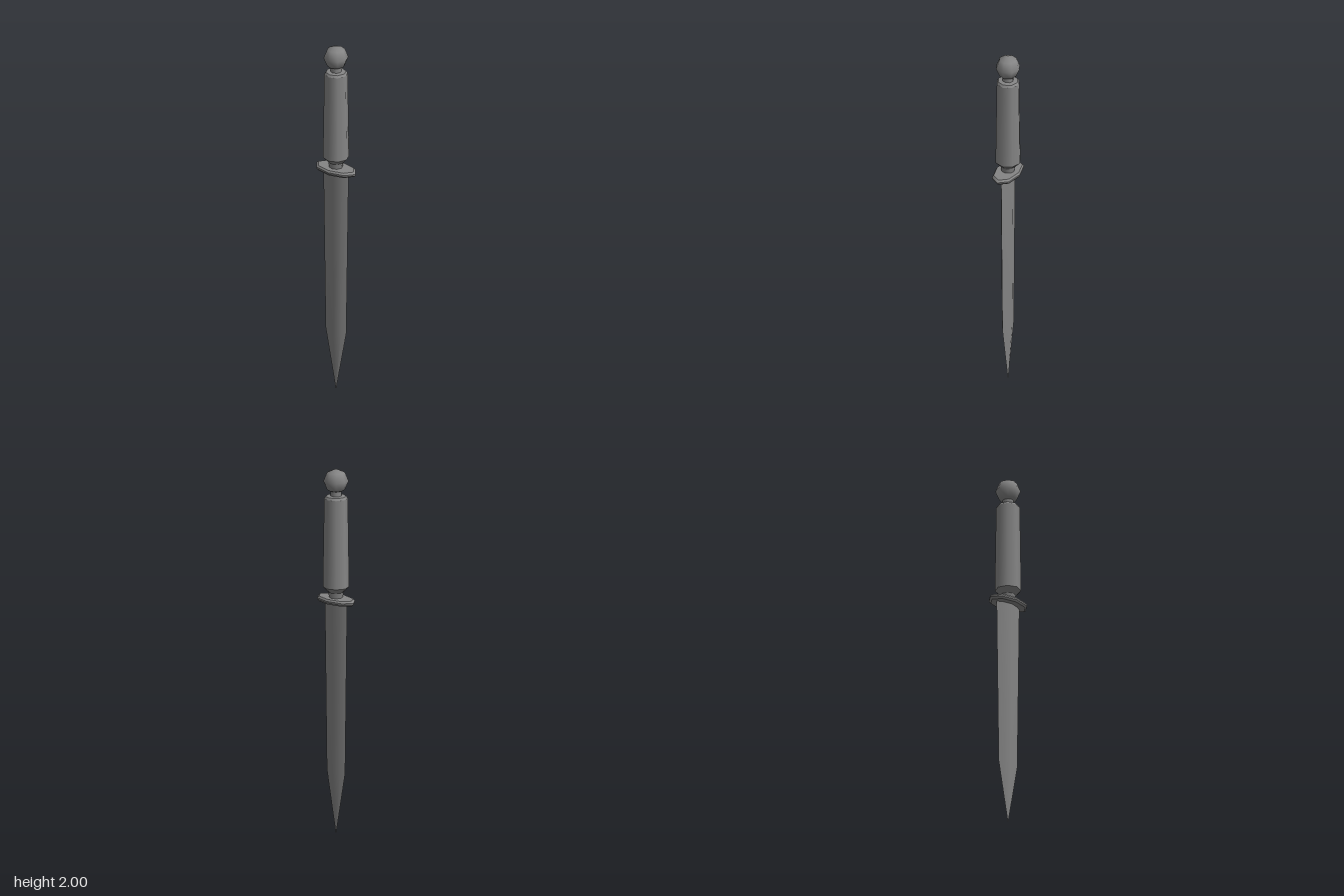
import * as THREE from 'three';
import { mergeGeometries, toCreasedNormals } from 'three/addons/utils/BufferGeometryUtils.js';

const SIDES = 8;
const material = new THREE.MeshStandardMaterial({ color: 0x858585 });

function addMesh(group, name, geometry) {
  const mesh = new THREE.Mesh(geometry, material);
  mesh.name = name;
  group.add(mesh);
  return mesh;
}

// Eight-sided turned part from [radius, y] points, listed bottom to top:
// smooth around the axis, sharp at every ring
function turned(points, sx = 1, sz = 1) {
  const bands = points.slice(1).map((p, i) =>
    new THREE.LatheGeometry([new THREE.Vector2(...points[i]), new THREE.Vector2(...p)], SIDES));
  return mergeGeometries(bands).scale(sx, 1, sz);
}

// Loft a lens-shaped section through [y, halfWidth, halfThickness] stations
function bladeGeometry(stations) {
  const section = [[1, 0], [0.62, 0.6], [0, 1], [-0.62, 0.6], [-1, 0], [-0.62, -0.6], [0, -1], [0.62, -0.6]];
  const n = section.length;
  const positions = [], index = [];
  for (const [y, w, t] of stations) {
    for (const [x, z] of section) positions.push(x * w, y, z * t);
  }
  for (let s = 0; s < stations.length - 1; s++) {
    for (let i = 0; i < n; i++) {
      const a = s * n + i, b = s * n + (i + 1) % n;
      index.push(a, a + n, b, b, a + n, b + n);
    }
  }
  // Close the top end
  const top = (stations.length - 1) * n;
  for (let i = 1; i < n - 1; i++) index.push(top, top + i + 1, top + i);
  const g = new THREE.BufferGeometry();
  g.setAttribute('position', new THREE.Float32BufferAttribute(positions, 3));
  g.setIndex(index);
  return toCreasedNormals(g, 0.8);
}

export function createModel() {
  const group = new THREE.Group();
  group.name = 'dagger';

  // Blade: long taper, then a straight point
  addMesh(group, 'blade', bladeGeometry([
    [0, 0.001, 0.0005], [0.34, 0.068, 0.024], [1.28, 0.083, 0.03],
  ]));

  // Guard: flattened oval plate with a bevelled rim
  addMesh(group, 'guard', turned([
    [0, 1.267], [0.9, 1.267], [1, 1.277], [1, 1.285], [0.9, 1.295], [0, 1.295],
  ], 0.13, 0.07));

  // Collar between guard and grip
  addMesh(group, 'collar', turned([[0.034, 1.285], [0.042, 1.327]]));

  // Grip with a chamfered foot and shoulder
  addMesh(group, 'grip', turned([
    [0, 1.325], [0.042, 1.325], [0.07, 1.353], [0.063, 1.838], [0.055, 1.85], [0, 1.855],
  ]));

  // Neck and faceted ball pommel
  addMesh(group, 'pommelNeck', turned([[0.03, 1.845], [0.03, 1.9]]));
  const pommel = addMesh(group, 'pommel', new THREE.SphereGeometry(0.067, SIDES, 4));
  pommel.position.y = 1.933;

  return group;
}
